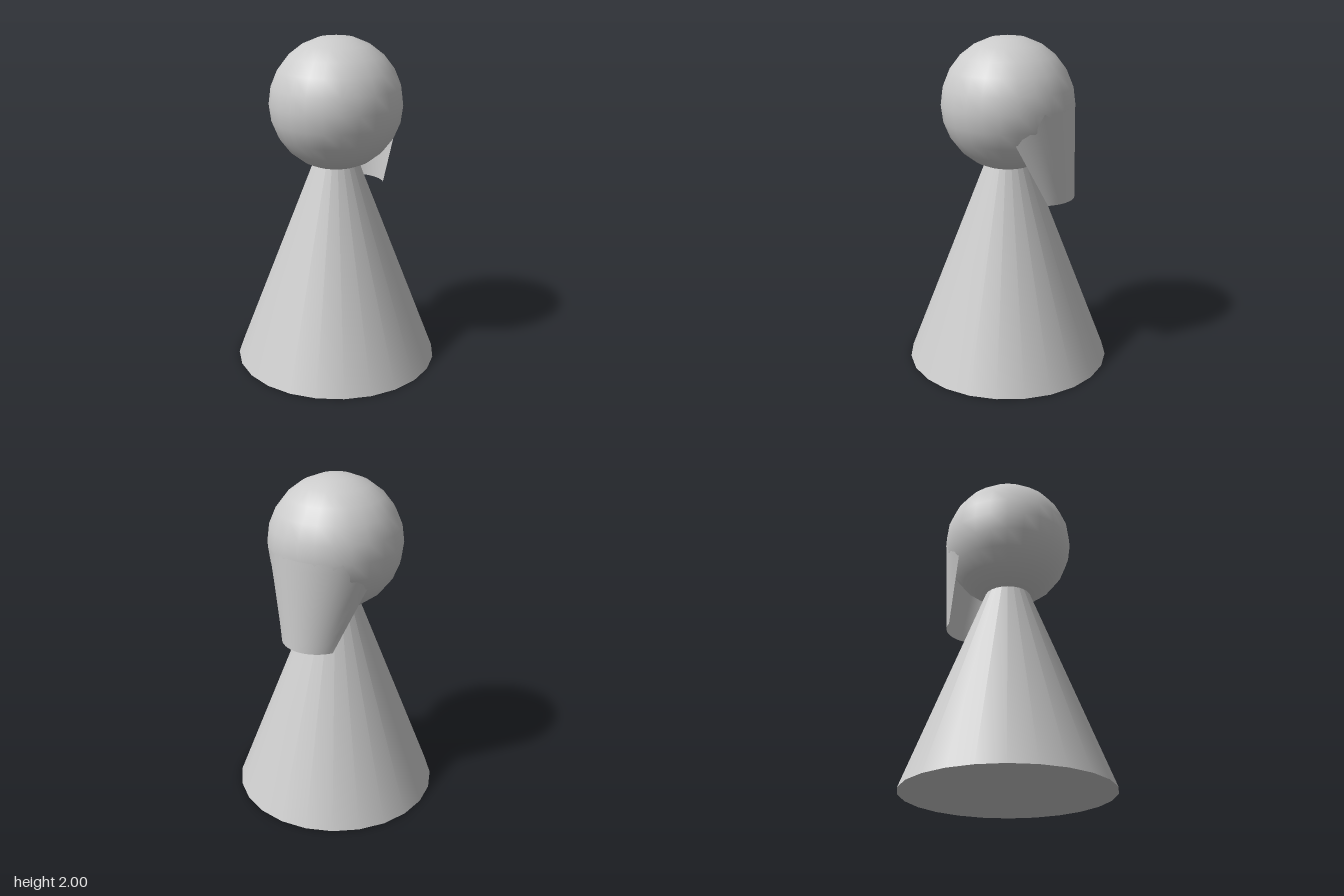
import * as THREE from 'three';

const HEAD_Y = 1.605;
const HEAD_R = 0.395;

// Tapered curved sheet: an arc at the head's equator ruled down to a smaller arc
function hairGeometry() {
  const top = { y: HEAD_Y, r: 0.38, z: -0.015, half: 1.36 };
  const bottom = { y: 1.06, r: 0.21, z: -0.2, half: 0.99 };
  const geometry = new THREE.PlaneGeometry(1, 1, 16, 10);
  const position = geometry.attributes.position;
  const edgePoint = (arc, s) => new THREE.Vector3(
    -arc.r * Math.sin(s * arc.half), arc.y, arc.z - arc.r * Math.cos(s * arc.half));
  for (let i = 0; i < position.count; i++) {
    const s = position.getX(i) * 2;
    const t = 0.5 - position.getY(i);
    const p = edgePoint(top, s).lerp(edgePoint(bottom, s), t);
    position.setXYZ(i, p.x, p.y, p.z);
  }
  geometry.computeVertexNormals();
  return geometry;
}

export function createModel() {
  const group = new THREE.Group();
  const material = new THREE.MeshStandardMaterial({ color: 0xcccccc });
  const sheetMaterial = new THREE.MeshStandardMaterial({ color: 0xcccccc, side: THREE.DoubleSide });

  const add = (name, geometry, y = 0, mat = material) => {
    const mesh = new THREE.Mesh(geometry, mat);
    mesh.name = name;
    mesh.position.y = y;
    group.add(mesh);
  };

  // Conical body, its tip hidden inside the head
  add('body', new THREE.ConeGeometry(0.62, 1.6, 24), 0.8);

  // Round head
  add('head', new THREE.SphereGeometry(HEAD_R, 24, 12), HEAD_Y);

  // Hair hanging down the back of the head
  add('hair', hairGeometry(), 0, sheetMaterial);

  return group;
}
